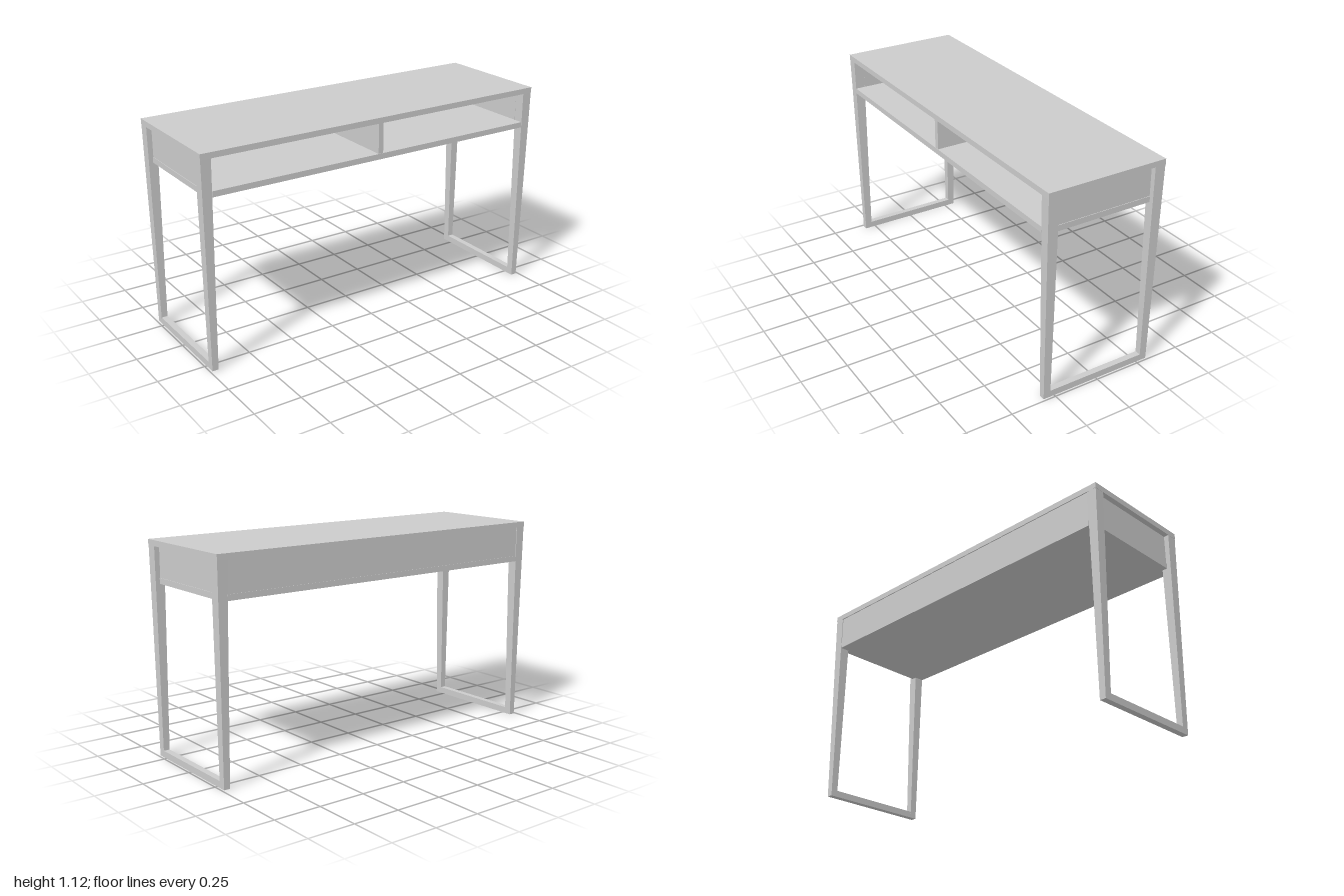
import * as THREE from 'three';

const material = new THREE.MeshStandardMaterial({ color: 0xcccccc, flatShading: true });

// Box given by its [min, max] range on each axis
function box(name, [x0, x1], [y0, y1], [z0, z1]) {
  const geometry = new THREE.BoxGeometry(x1 - x0, y1 - y0, z1 - z0);
  geometry.translate((x0 + x1) / 2, (y0 + y1) / 2, (z0 + z1) / 2);
  const mesh = new THREE.Mesh(geometry, material);
  mesh.name = name;
  return mesh;
}

// Upright post whose footprint changes linearly from bottom to top;
// sx and sz choose the corner of the table it stands in
function taperedLeg(name, height, bottom, top, sx, sz) {
  const geometry = new THREE.BoxGeometry(1, height, 1);
  const p = geometry.attributes.position;
  for (let i = 0; i < p.count; i++) {
    const { x, z } = p.getY(i) > 0 ? top : bottom;
    const outerX = p.getX(i) * sx > 0;
    const outerZ = p.getZ(i) * sz > 0;
    p.setXYZ(i, sx * x[outerX ? 1 : 0], p.getY(i) + height / 2, sz * z[outerZ ? 1 : 0]);
  }
  geometry.computeVertexNormals();
  const mesh = new THREE.Mesh(geometry, material);
  mesh.name = name;
  return mesh;
}

export function createModel() {
  const desk = new THREE.Group();
  desk.name = 'desk';
  const topY = 1.095, shelfY = 0.935, underY = 0.905;

  // Top, shelf, back and centre divider
  desk.add(box('tabletop', [-1, 1], [topY, 1.125], [-0.325, 0.325]));
  desk.add(box('shelf', [-0.945, 0.945], [underY, shelfY], [-0.322, 0.322]));
  desk.add(box('backPanel', [-0.945, 0.945], [shelfY, topY], [-0.32, -0.29]));
  desk.add(box('divider', [-0.014, 0.014], [shelfY, topY], [-0.29, 0.32]));

  // Leg frames with recessed side panels
  const bottom = { x: [0.955, 0.988], z: [0.274, 0.312] };
  const top = { x: [0.945, 0.999], z: [0.267, 0.324] };
  for (const sx of [-1, 1]) {
    const side = sx > 0 ? 'left' : 'right';
    const span = (a, b) => (sx > 0 ? [a, b] : [-b, -a]);
    const frame = new THREE.Group();
    frame.name = side + 'Frame';
    for (const sz of [-1, 1]) {
      frame.add(taperedLeg(sz > 0 ? 'frontLeg' : 'backLeg', topY, bottom, top, sx, sz));
    }
    frame.add(box('floorBar', span(...bottom.x), [0, 0.035], [-0.275, 0.275]));
    frame.add(box('sidePanel', span(0.945, 0.972), [shelfY, topY], [-0.268, 0.268]));
    frame.add(box('shelfEnd', span(0.945, 0.975), [underY, shelfY], [-0.268, 0.268]));
    desk.add(frame);
  }
  return desk;
}
